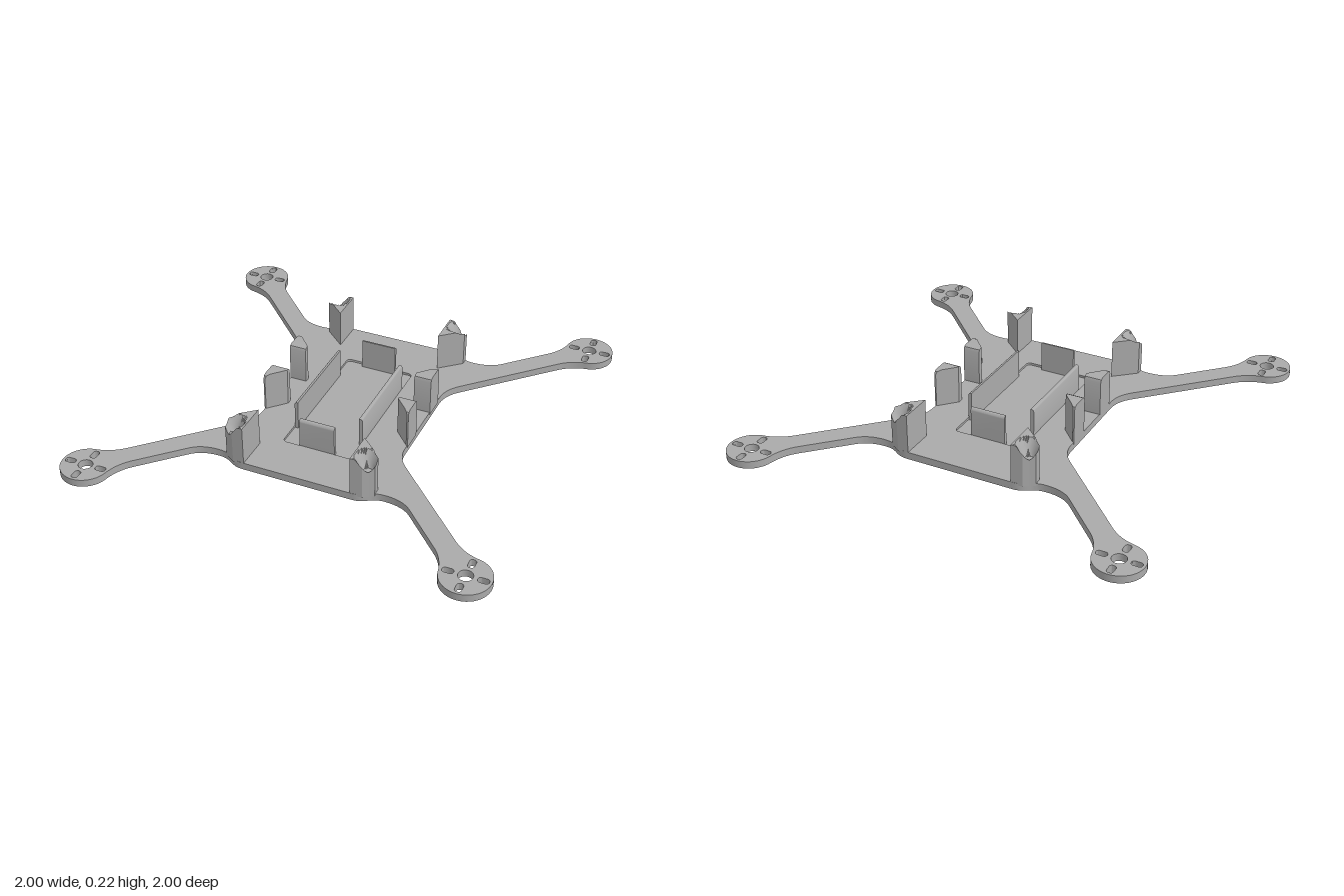
import * as THREE from 'three';
import { toCreasedNormals } from 'three/addons/utils/BufferGeometryUtils.js';
import { ConvexGeometry } from 'three/addons/geometries/ConvexGeometry.js';

const PLATE = 0.035, FLOOR = 0.024, POD = 0.887;

// One quarter of the frame outline: body side, arm, motor pod, body corner
function quarterOutline() {
  const p = new THREE.Path();
  const rad = THREE.MathUtils.degToRad;
  p.moveTo(0.355, 0);
  p.lineTo(0.355, 0.215);
  p.quadraticCurveTo(0.355, 0.285, 0.41, 0.34);
  p.lineTo(0.78, 0.71);
  p.quadraticCurveTo(0.833, 0.763, 0.907, 0.776);
  p.absarc(POD, POD, 0.113, rad(280), rad(170), false);
  p.quadraticCurveTo(0.763, 0.833, 0.71, 0.78);
  p.lineTo(0.53, 0.6);
  p.quadraticCurveTo(0.485, 0.555, 0.4, 0.555);
  p.bezierCurveTo(0.33, 0.555, 0.33, 0.6, 0.26, 0.6);
  return p.getPoints(16);
}

// Rounded slot or rectangle as a hole
function roundedHole(cx, cy, w, h, r) {
  const p = new THREE.Path(), x = cx - w / 2, y = cy - h / 2;
  p.absarc(x + w - r, y + r, r, -Math.PI / 2, 0);
  p.absarc(x + w - r, y + h - r, r, 0, Math.PI / 2);
  p.absarc(x + r, y + h - r, r, Math.PI / 2, Math.PI);
  p.absarc(x + r, y + r, r, Math.PI, Math.PI * 1.5);
  p.closePath();
  return p;
}

// One layer of the plate, with motor holes in every pod
function plateLayer(y0, y1, recess) {
  const q = quarterOutline(), pts = [];
  const add = (list, sx, sy) => list.forEach(v => pts.push(new THREE.Vector2(v.x * sx, v.y * sy)));
  const back = q.slice().reverse();
  add(q, 1, 1);
  add(back.slice(0, -1), -1, 1);
  add(q, -1, -1);
  add(back.slice(0, -1), 1, -1);
  const shape = new THREE.Shape(pts);
  for (const sx of [1, -1]) for (const sy of [1, -1]) {
    const cx = sx * POD, cy = sy * POD;
    shape.holes.push(new THREE.Path().absarc(cx, cy, 0.033, 0, Math.PI * 2, true));
    for (const s of [1, -1]) {
      shape.holes.push(roundedHole(cx + s * 0.076, cy, 0.05, 0.03, 0.013));
      shape.holes.push(roundedHole(cx, cy + s * 0.076, 0.03, 0.05, 0.013));
    }
  }
  if (recess) shape.holes.push(roundedHole(-0.002, -0.02, 0.337, 0.725, 0.02));
  const g = new THREE.ExtrudeGeometry(shape, { depth: y1 - y0, bevelEnabled: false, curveSegments: 8 });
  g.rotateX(-Math.PI / 2).translate(0, y0, 0);
  return toCreasedNormals(g, 0.6);
}

// Corner post with a conical scoop sunk in its top
function cornerPostGeometry() {
  const corners = [[0.255, 0.44], [0.357, 0.53], [0.357, 0.565], [0.335, 0.578], [0.31, 0.595], [0.255, 0.6]];
  const cx = 0.32, cz = 0.56, rings = 8, steps = 6, edge = [], pos = [];
  corners.forEach((a, i) => {
    const b = corners[(i + 1) % corners.length];
    for (let k = 0; k < steps; k++) edge.push([a[0] + (b[0] - a[0]) * k / steps, a[1] + (b[1] - a[1]) * k / steps]);
  });
  const top = (i, k) => {
    const e = edge[i % edge.length], f = k / rings;
    const dx = (e[0] - cx) * f, dz = (e[1] - cz) * f;
    const y = Math.min(0.22, 0.11 + 2 * Math.max(0.02, Math.hypot(dx, dz)));
    return [cx + dx, y, cz + dz];
  };
  const tri = (...v) => v.forEach(p => pos.push(...p));
  for (let i = 0; i < edge.length; i++) {
    for (let k = 0; k < rings; k++) {
      const a = top(i, k), b = top(i + 1, k), c = top(i + 1, k + 1), d = top(i, k + 1);
      tri(a, c, d);
      if (k > 0) tri(a, b, c);
    }
    const t0 = top(i, rings), t1 = top(i + 1, rings);
    const b0 = [t0[0], FLOOR, t0[2]], b1 = [t1[0], FLOOR, t1[2]];
    tri(b0, t0, t1);
    tri(b0, t1, b1);
  }
  const g = new THREE.BufferGeometry();
  g.setAttribute('position', new THREE.Float32BufferAttribute(pos, 3));
  return g;
}

// Wedge-shaped side post with rounded top corners
function sidePostGeometry() {
  const profile = [[0.085, FLOOR], [0.11, FLOOR], [0.19, FLOOR], [0.19, 0.2], [0.184, 0.214], [0.17, 0.22],
    [0.11, 0.22], [0.105, 0.22], [0.091, 0.214], [0.085, 0.2]];
  const pts = [];
  for (const [z, y] of profile) {
    const inner = 0.275 + 0.075 * Math.max(0, (z - 0.11) / 0.08);
    pts.push(new THREE.Vector3(0.357, y, z), new THREE.Vector3(inner, y, z));
  }
  return new ConvexGeometry(pts);
}

// Mirror a triangle soup and keep its faces outward
function mirrored(geo, sx, sz) {
  const g = new THREE.BufferGeometry();
  const p = geo.getAttribute('position').clone();
  if (sx * sz < 0) {
    for (let i = 0; i < p.count; i += 3) {
      const b = [p.getX(i + 1), p.getY(i + 1), p.getZ(i + 1)];
      p.setXYZ(i + 1, p.getX(i + 2), p.getY(i + 2), p.getZ(i + 2));
      p.setXYZ(i + 2, ...b);
    }
  }
  g.setAttribute('position', p);
  g.scale(sx, 1, sz);
  return toCreasedNormals(g, 0.5);
}

// Thin upright wall, its outer top edge rounded; outward is +x
function wallGeometry(length, height) {
  const s = new THREE.Shape(), t = 0.016;
  s.moveTo(0, FLOOR - 0.005);
  s.lineTo(t, FLOOR - 0.005);
  s.lineTo(t, height - 0.014);
  s.quadraticCurveTo(t, height, 0.002, height);
  s.lineTo(0, height);
  const g = new THREE.ExtrudeGeometry(s, { depth: length, bevelEnabled: false, curveSegments: 5 });
  return toCreasedNormals(g.translate(0, 0, -length / 2), 0.6);
}

export function createModel() {
  const model = new THREE.Group();
  model.name = 'quadcopterFrame';
  const grey = new THREE.MeshStandardMaterial({ color: 0xaaaaaa });
  grey.name = 'grey';
  const add = (name, geo) => {
    const m = new THREE.Mesh(geo, grey);
    m.name = name;
    model.add(m);
    return m;
  };

  // Base plate with a shallow battery recess
  add('basePlate', plateLayer(0, FLOOR, false));
  add('topPlate', plateLayer(FLOOR, PLATE, true));

  // Posts, mirrored to all four quarters
  const corner = cornerPostGeometry(), side = sidePostGeometry();
  for (const sx of [1, -1]) for (const sz of [1, -1]) {
    const where = (sz > 0 ? 'front' : 'back') + (sx > 0 ? 'Left' : 'Right');
    add(where + 'CornerPost', mirrored(corner, sx, sz));
    add(where + 'SidePost', mirrored(side, sx, sz));
  }

  // Battery tray walls
  const longWall = wallGeometry(0.47, 0.165), endWall = wallGeometry(0.17, 0.172);
  const walls = [
    ['leftTrayWall', longWall, 0.149, 0.02, 0],
    ['rightTrayWall', longWall, -0.153, 0.02, Math.PI],
    ['frontTrayWall', endWall, -0.002, 0.363, -Math.PI / 2],
    ['backTrayWall', endWall, -0.002, -0.323, Math.PI / 2],
  ];
  for (const [name, geo, x, z, turn] of walls) {
    const w = add(name, geo);
    w.position.set(x, 0, z);
    w.rotation.y = turn;
  }
  return model;
}
